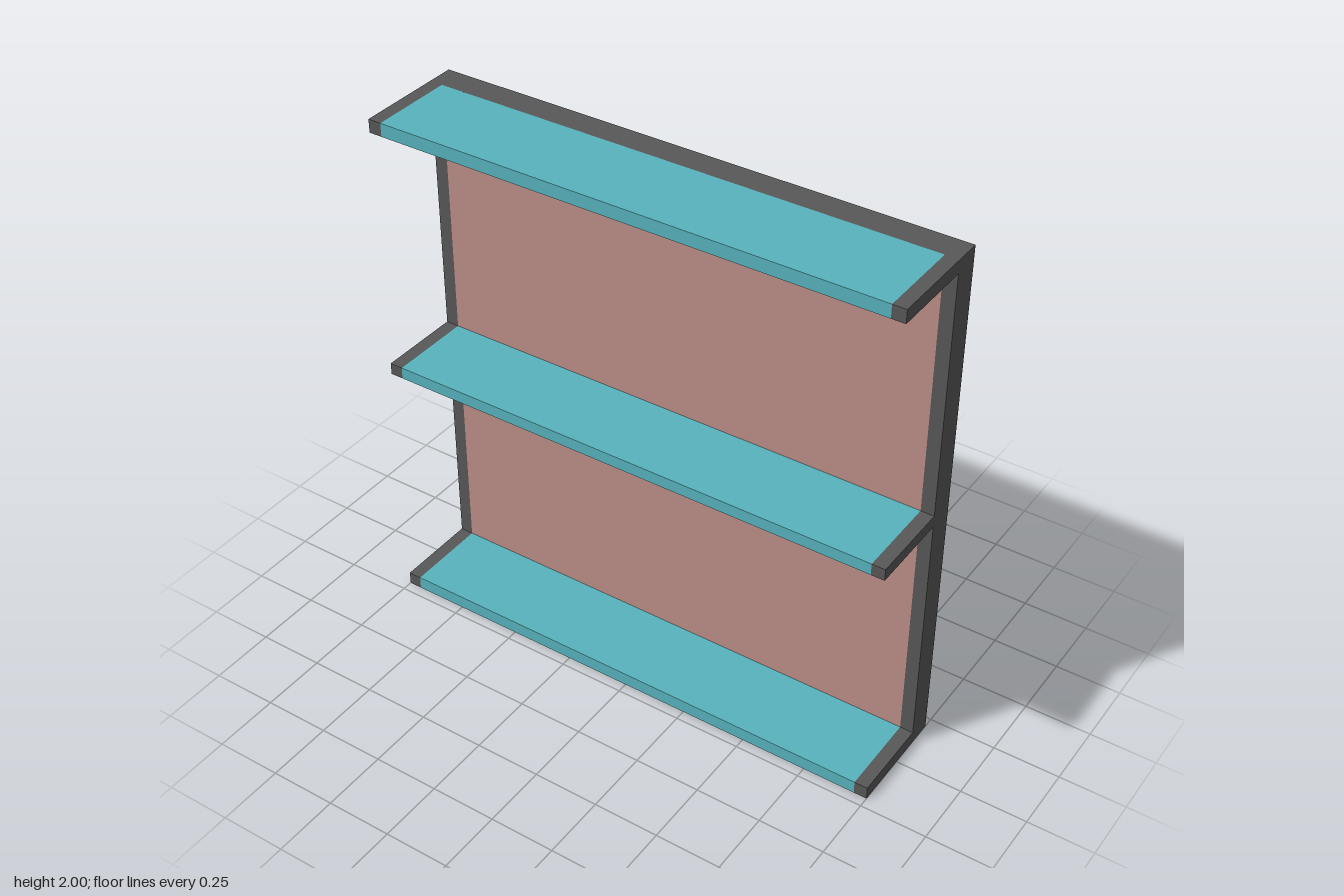
import * as THREE from 'three';

const BACK = -0.21, FACE = -0.11, FRONT = 0.21; // depth planes
const EDGE = 0.05; // width of the dark edging

export function createModel() {
  const model = new THREE.Group();
  const dark = new THREE.MeshStandardMaterial({ color: 0x585858 });
  const teal = new THREE.MeshStandardMaterial({ color: 0x58b3bd });
  const pink = new THREE.MeshStandardMaterial({ color: 0xbc8d86 });

  // Box given by its minimum and maximum corners
  function box(name, material, [x0, y0, z0], [x1, y1, z1], parent) {
    const mesh = new THREE.Mesh(new THREE.BoxGeometry(x1 - x0, y1 - y0, z1 - z0), material);
    mesh.position.set((x0 + x1) / 2, (y0 + y1) / 2, (z0 + z1) / 2);
    mesh.name = name;
    parent.add(mesh);
  }

  // Square frame around the back panel
  const rectangle = (target, x, y0, y1) =>
    target.moveTo(-x, y0).lineTo(x, y0).lineTo(x, y1).lineTo(-x, y1).closePath();
  const outline = rectangle(new THREE.Shape(), 1, 0, 2);
  outline.holes.push(rectangle(new THREE.Path(), 1 - EDGE, EDGE, 2 - EDGE));
  const frame = new THREE.Mesh(
    new THREE.ExtrudeGeometry(outline, { depth: FACE - BACK, bevelEnabled: false }), dark);
  frame.position.z = BACK;
  frame.name = 'frame';
  model.add(frame);

  // Panel filling the frame, flush on both faces
  box('backPanel', pink, [EDGE - 1, EDGE, BACK], [1 - EDGE, 2 - EDGE, FACE], model);

  // Three shelves, each held between two dark end arms
  const levels = [['bottomShelf', 0, 0.05], ['middleShelf', 0.98, 1.025], ['topShelf', 1.95, 2]];
  for (const [name, y0, y1] of levels) {
    const shelf = new THREE.Group();
    shelf.name = name;
    box('board', teal, [EDGE - 1, y0, FACE], [1 - EDGE, y1, FRONT], shelf);
    box('rightArm', dark, [-1, y0, FACE], [EDGE - 1, y1, FRONT], shelf);
    box('leftArm', dark, [1 - EDGE, y0, FACE], [1, y1, FRONT], shelf);
    model.add(shelf);
  }
  return model;
}
